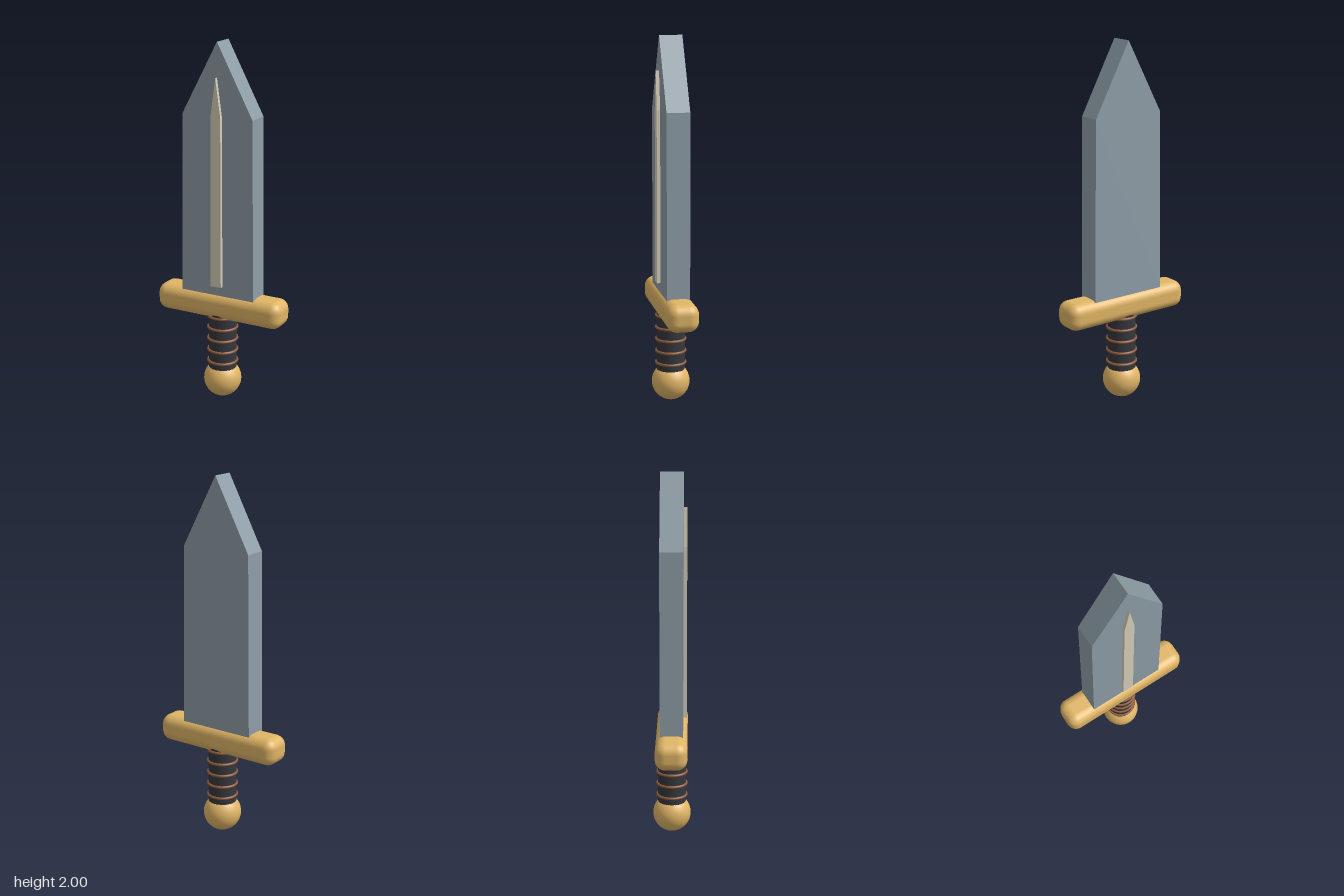
import * as THREE from 'three';
import { RoundedBoxGeometry } from 'three/addons/geometries/RoundedBoxGeometry.js';

const material = (color) => new THREE.MeshStandardMaterial({ color });

export function createModel() {
  const sword = new THREE.Group();
  sword.name = 'sword';
  const steel = material(0x8f9ea8);
  const inlay = material(0xd6cfba);
  const gold = material(0xe0b566);
  const leather = material(0x34373d);
  const copper = material(0x8f5a3a);

  const add = (name, geometry, mat, y = 0, z = 0) => {
    const mesh = new THREE.Mesh(geometry, mat);
    mesh.name = name;
    mesh.position.set(0, y, z);
    sword.add(mesh);
    return mesh;
  };

  // Pointed slab: slightly tapering sides up to the shoulder, then a tip
  const pointedSlab = (bottom, shoulder, tip, baseHalf, shoulderHalf, depth) => {
    const shape = new THREE.Shape([
      new THREE.Vector2(-baseHalf, bottom),
      new THREE.Vector2(baseHalf, bottom),
      new THREE.Vector2(shoulderHalf, shoulder),
      new THREE.Vector2(0, tip),
      new THREE.Vector2(-shoulderHalf, shoulder),
    ]);
    return new THREE.ExtrudeGeometry(shape, { depth, bevelEnabled: false });
  };

  // Blade and the raised strip on its front
  add('blade', pointedSlab(0.6, 1.61, 2, 0.22, 0.208, 0.125), steel, 0, -0.0625);
  add('bladeStrip', pointedSlab(0.67, 1.61, 1.815, 0.032, 0.029, 0.03), inlay, 0, 0.051);

  // Crossguard
  add('crossguard', new RoundedBoxGeometry(0.76, 0.15, 0.172, 4, 0.055), gold, 0.55);

  // Grip with wrapped rings
  add('grip', new THREE.CylinderGeometry(0.078, 0.078, 0.34, 24), leather, 0.33);
  for (let i = 0; i < 5; i++) {
    const ring = add('gripRing', new THREE.TorusGeometry(0.08, 0.008, 8, 32), copper, 0.214 + i * 0.067);
    ring.rotation.x = Math.PI / 2;
  }

  // Pommel
  add('pommel', new THREE.SphereGeometry(0.105, 32, 20), gold, 0.105);

  return sword;
}
